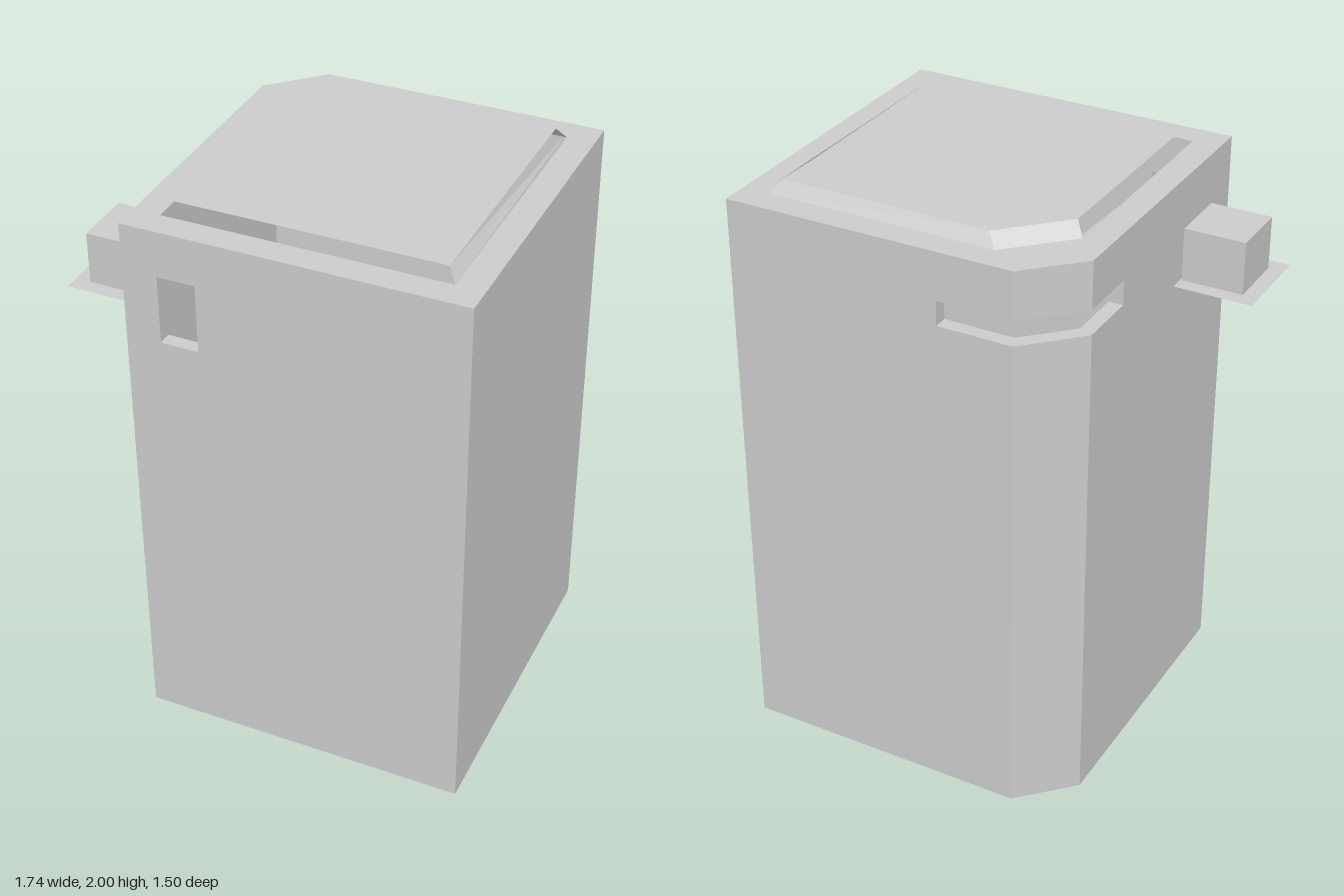
import * as THREE from 'three';

const material = new THREE.MeshStandardMaterial({ color: 0xcccccc, flatShading: true, side: THREE.DoubleSide });

// Outlines as [x, z], in the order front, right, back right, back left, left
const FOOTPRINT = [[0.055, 0.75], [0.868, -0.065], [0.175, -0.755], [-0.063, -0.755], [-0.757, -0.065]];
const RIM = [[0.055, 0.615], [0.735, -0.065], [0.19, -0.614], [-0.077, -0.614], [-0.625, -0.065]];
const LID = [[0.055, 0.572], [0.693, -0.065], [0.19, -0.567], [-0.077, -0.567], [-0.583, -0.065]];
const HEIGHT = 1.96, LID_Y = 2, THICK = 0.048;

const at = ([x, z], y) => new THREE.Vector3(x, y, z);
const mix = (p, q, t) => [p[0] + (q[0] - p[0]) * t, p[1] + (q[1] - p[1]) * t];

function addMesh(parent, name, geometry) {
  const mesh = new THREE.Mesh(geometry, material);
  mesh.name = name;
  parent.add(mesh);
  return mesh;
}

// Flat faces, each a counter-clockwise loop of corners
function faces(loops) {
  const points = [];
  for (const loop of loops)
    for (let i = 1; i < loop.length - 1; i++) points.push(loop[0], loop[i], loop[i + 1]);
  const geometry = new THREE.BufferGeometry().setFromPoints(points);
  geometry.computeVertexNormals();
  return geometry;
}

// Horizontal sheet with an optional opening
function sheet(outline, y, hole) {
  const flat = (pts) => pts.map(([x, z]) => new THREE.Vector2(x, -z));
  const shape = new THREE.Shape(flat(outline));
  if (hole) shape.holes.push(new THREE.Path(flat(hole)));
  return new THREE.ShapeGeometry(shape).rotateX(-Math.PI / 2).translate(0, y, 0);
}

// Inward unit normal of the wall from p to q
function inward(p, q) {
  const dx = q[0] - p[0], dz = q[1] - p[1], l = Math.hypot(dx, dz);
  return [dz / l, -dx / l];
}

// Outline moved inwards by d, with mitred corners
function inset(outline, d) {
  const n = outline.length;
  return outline.map((p, i) => {
    const a = inward(outline[(i + n - 1) % n], p), b = inward(p, outline[(i + 1) % n]);
    const k = d / (1 + a[0] * b[0] + a[1] * b[1]);
    return [p[0] + (a[0] + b[0]) * k, p[1] + (a[1] + b[1]) * k];
  });
}

// Thick wall with an optional opening: t0..t1 along the wall, y0..y1 in height
function wall(p, q, ip, iq, cut) {
  const loops = [];
  const panel = (a, b, y0, y1) => loops.push([at(a, y0), at(b, y0), at(b, y1), at(a, y1)]);
  if (!cut) {
    panel(p, q, 0, HEIGHT);
    panel(iq, ip, THICK, HEIGHT);
    return faces(loops);
  }
  const { t0, t1, y0, y1 } = cut;
  const n = inward(p, q);
  const push = (c) => [c[0] + n[0] * THICK, c[1] + n[1] * THICK];
  const a = mix(p, q, t0), b = mix(p, q, t1);
  const ia = t0 > 0 ? push(a) : ip, ib = t1 < 1 ? push(b) : iq;
  panel(p, q, 0, y0);
  panel(p, q, y1, HEIGHT);
  panel(iq, ip, THICK, y0);
  panel(iq, ip, y1, HEIGHT);
  if (t0 > 0) {
    panel(p, a, y0, y1);
    panel(ia, ip, y0, y1);
    panel(a, ia, y0, y1);
  }
  if (t1 < 1) {
    panel(b, q, y0, y1);
    panel(iq, ib, y0, y1);
    panel(ib, b, y0, y1);
  }
  // sill and head of the opening
  loops.push([at(a, y0), at(b, y0), at(ib, y0), at(ia, y0)]);
  loops.push([at(a, y1), at(ia, y1), at(ib, y1), at(b, y1)]);
  return faces(loops);
}

export function createModel() {
  const model = new THREE.Group();
  model.name = 'bin';

  // Hollow body: a slot in the front left wall and a notch around the back
  const body = new THREE.Group();
  body.name = 'body';
  model.add(body);
  const inner = inset(FOOTPRINT, THICK);
  const notch = { y0: 1.717, y1: 1.8 };
  const walls = [
    ['frontLeftWall', null],
    ['backLeftWall', { t0: 0.74, t1: 1, ...notch }],
    ['backWall', { t0: 0, t1: 1, ...notch }],
    ['backRightWall', { t0: 0, t1: 0.212, ...notch }],
    ['frontRightWall', { t0: 0.105, t1: 0.218, y0: 1.56, y1: 1.8 }],
  ];
  walls.forEach(([name, cut], i) => {
    const j = (i + 1) % 5;
    addMesh(body, name, wall(FOOTPRINT[i], FOOTPRINT[j], inner[i], inner[j], cut));
  });
  addMesh(body, 'base', sheet(FOOTPRINT, 0).scale(1, -1, 1));
  addMesh(body, 'floor', sheet(inner, THICK));
  addMesh(body, 'rim', sheet(FOOTPRINT, HEIGHT, RIM));

  // Raised lid, bevelled at the back and partly open on the other sides
  const lid = new THREE.Group();
  lid.name = 'lid';
  model.add(lid);
  addMesh(lid, 'lidTop', sheet(LID, LID_Y));
  const bevel = (i, j) => [at(RIM[i], HEIGHT), at(RIM[j], HEIGHT), at(LID[j], LID_Y), at(LID[i], LID_Y)];
  addMesh(lid, 'lidBevels', faces([
    bevel(1, 2),
    bevel(2, 3),
    [at(RIM[0], HEIGHT), at([0.72, -0.05], 1.98), at(LID[0], LID_Y)],
    [at(RIM[3], HEIGHT), at([-0.25, -0.44], HEIGHT), at(mix(RIM[3], LID[3], 0.2), 1.968)],
  ]));

  // Side bracket with a block on a thin plate
  const bracket = new THREE.Group();
  bracket.name = 'sideBracket';
  bracket.position.set(-0.655, 1.61, -0.32);
  bracket.rotation.y = -Math.PI / 4;
  model.add(bracket);
  addMesh(bracket, 'block', new THREE.BoxGeometry(0.207, 0.18, 0.207)).position.y = 0.09;
  addMesh(bracket, 'plate', new THREE.PlaneGeometry(0.27, 0.31).rotateX(-Math.PI / 2)).position.x = -0.022;

  return model;
}
